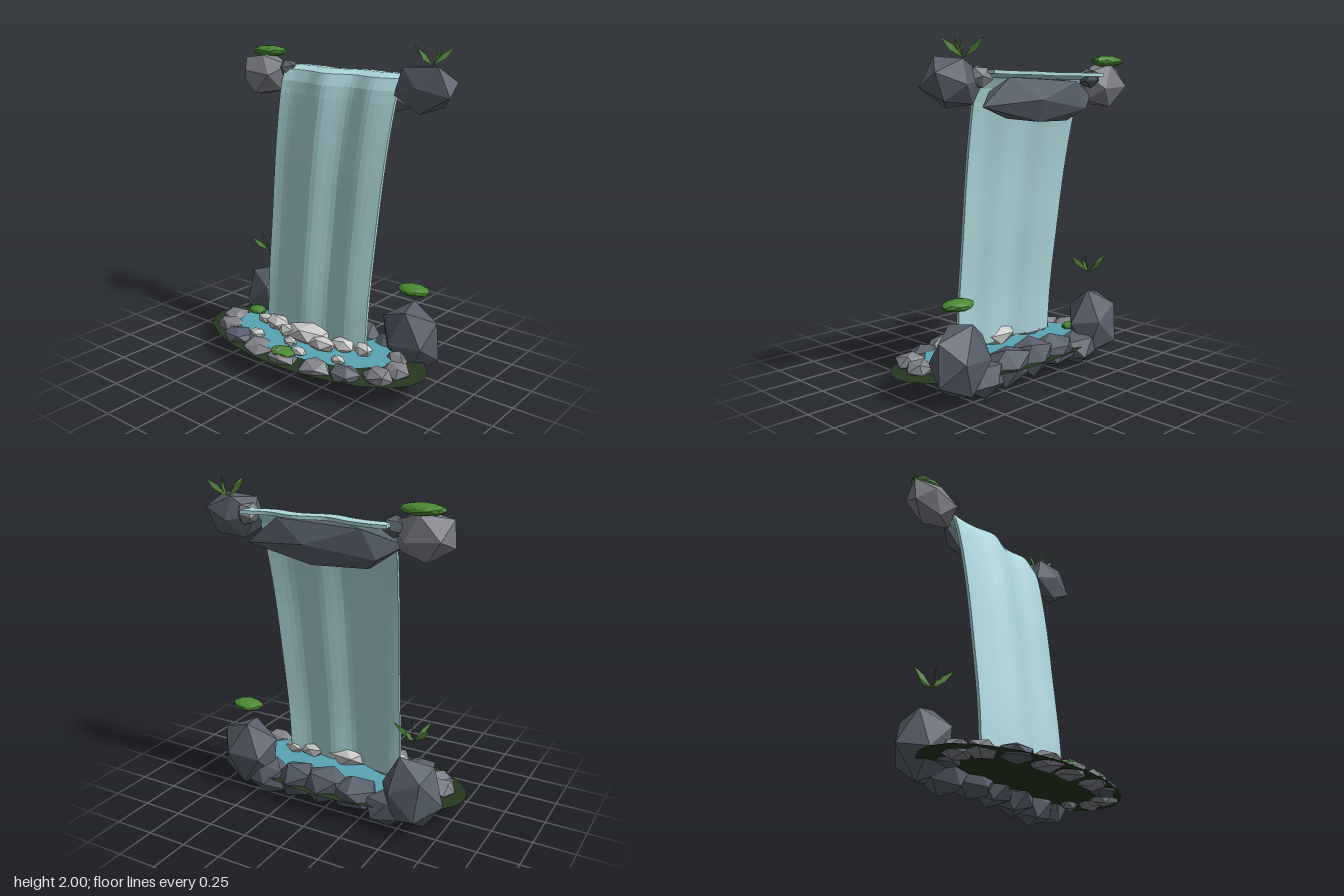
import * as THREE from 'three';

const mat = (color, side = THREE.FrontSide) =>
  new THREE.MeshStandardMaterial({ color, flatShading: true, side });
const M = {
  dark: mat(0x59606b), grey: mat(0x808288), foam: mat(0xeef1f1), moss: mat(0x4c8a33),
  leaf: mat(0x5a9440, THREE.DoubleSide), water: mat(0xb0dade),
  pool: mat(0x5aa5b5, THREE.DoubleSide), ground: mat(0x263822, THREE.DoubleSide),
};

let seed = 7;
const rand = () => (seed = (seed * 16807) % 2147483647) / 2147483647;

function add(parent, name, geometry, material) {
  const mesh = new THREE.Mesh(geometry, material);
  mesh.name = name;
  parent.add(mesh);
  return mesh;
}

// Faceted stone: a roughened icosahedron fitted to centre c and half sizes h
function stone(parent, name, c, h, material, detail = 0, rough = 0.22) {
  const g = new THREE.IcosahedronGeometry(1, detail);
  const p = g.attributes.position, moved = {}, v = new THREE.Vector3();
  const turn = new THREE.Euler(rand() * 0.5, rand() * 6.28, rand() * 0.5);
  for (let i = 0; i < p.count; i++) {
    v.fromBufferAttribute(p, i);
    const key = v.toArray().map(n => Math.round(n * 100)).join();
    moved[key] ??= 1 + (rand() - 0.5) * rough;
    v.multiplyScalar(moved[key]).applyEuler(turn);
    p.setXYZ(i, v.x, v.y, v.z);
  }
  g.center();
  g.computeBoundingBox();
  const b = g.boundingBox.max;
  g.scale(h[0] / b.x, h[1] / b.y, h[2] / b.z).translate(...c);
  g.computeVertexNormals();
  return add(parent, name, g, material);
}

const moss = (parent, c, h) => stone(parent, 'mossCushion', c, h, M.moss, 1, 0.1);

// Tuft of thin upright diamond-shaped blades fanning out from a base point
function fern(parent, c, start) {
  const tuft = new THREE.Group();
  tuft.name = 'fern';
  const blade = new THREE.Shape([[0, 0], [0.055, 0.068], [0.122, 0.108], [0.075, 0.04]]
    .map(q => new THREE.Vector2(...q)));
  for (let i = 0; i < 5; i++) {
    const leaf = add(tuft, 'blade', new THREE.ShapeGeometry(blade), M.leaf);
    leaf.rotation.y = start + i * Math.PI * 0.4;
  }
  tuft.position.set(...c);
  parent.add(tuft);
}

// Flat oval lying in the horizontal plane
function oval(parent, name, rx, rz, y, z, sides, material, wobble = 0) {
  const g = new THREE.CircleGeometry(1, sides).rotateX(-Math.PI / 2);
  const p = g.attributes.position;
  for (let i = 1; i < p.count; i++) {
    const k = 1 + wobble * Math.sin(i * 2.4);
    p.setXYZ(i, p.getX(i) * k, 0, p.getZ(i) * k);
  }
  g.scale(rx, 1, rz).translate(0, y, z);
  return add(parent, name, g, material);
}

// Falling sheet: a subdivided slab bent along a path and rippled across its width
function waterfall(parent) {
  const path = new THREE.CatmullRomCurve3([
    [0.2, 0.03], [0.5, 0.01], [0.9, -0.038], [1.3, -0.09], [1.6, -0.145], [1.72, -0.175],
    [1.795, -0.205], [1.825, -0.25], [1.825, -0.36],
  ].map(([y, z]) => new THREE.Vector3(0, y, z)));
  const ripple = new THREE.SplineCurve([
    [-0.5, -0.022], [-0.4, -0.03], [-0.25, -0.012], [-0.08, 0.033],
    [0.13, -0.012], [0.32, 0.02], [0.5, -0.022],
  ].map(q => new THREE.Vector2(...q)));
  const ripples = ripple.getPoints(120);
  const rippleAt = x => {
    const i = Math.max(1, ripples.findIndex(q => q.x >= x - 1e-6));
    const a = ripples[i - 1], b = ripples[i];
    return THREE.MathUtils.mapLinear(x, a.x, b.x, a.y, b.y);
  };
  const g = new THREE.BoxGeometry(1, 1, 1, 24, 24, 1), p = g.attributes.position;
  for (let i = 0; i < p.count; i++) {
    const u = p.getX(i), t = p.getY(i) + 0.5, d = p.getZ(i) * 0.02;
    const c = path.getPointAt(t), n = path.getTangentAt(t);
    const half = 0.392 + 0.048 * (c.y / 1.82) ** 2 + 0.02 * THREE.MathUtils.smoothstep(-c.z, 0.2, 0.36);
    p.setXYZ(i, u * 2 * half, c.y - n.z * d, c.z + n.y * d + rippleAt(u));
  }
  g.computeVertexNormals();
  add(parent, 'waterfallSheet', g, M.water);
}

export function createModel() {
  const model = new THREE.Group();
  model.name = 'waterfallScene';

  // Ground and pool
  oval(model, 'mossyGround', 0.815, 0.39, 0.14, 0.03, 24, M.ground);
  oval(model, 'poolWater', 0.585, 0.3, 0.178, 0.02, 32, M.pool, 0.02);
  waterfall(model);

  // Rim stones around the front and sides of the pool
  const rim = new THREE.Group();
  rim.name = 'poolRim';
  model.add(rim);
  [[-0.64, 0.06, 0.09], [-0.58, 0.17, 0.085], [-0.42, 0.27, 0.095], [-0.21, 0.31, 0.1], [0, 0.32, 0.095],
    [0.25, 0.32, 0.1], [0.43, 0.27, 0.095], [0.6, 0.17, 0.095], [0.645, 0.05, 0.085],
    [0.57, -0.06, 0.065], [-0.57, -0.06, 0.07]]
    .forEach(([x, z, r], i) =>
      stone(rim, 'rimStone', [x, 0.155, z], [r * 1.05, 0.055, r * 0.85], i % 4 === 2 ? M.dark : M.grey));

  // Rock row behind the pool, with a boulder at each end
  const back = new THREE.Group();
  back.name = 'backRocks';
  model.add(back);
  [[-0.44, 0], [-0.21, 0.03], [0, 0.04], [0.2, 0.03], [0.41, 0]].forEach(([x, low]) =>
    stone(back, 'backRock', [x, low + 0.11, -0.22], [0.15, 0.11, 0.125], M.dark));
  stone(back, 'rightBoulder', [-0.58, 0.255, -0.225], [0.2, 0.22, 0.135], M.dark, 0, 0.12);
  stone(back, 'leftBoulder', [0.565, 0.25, -0.225], [0.185, 0.215, 0.135], M.dark, 0, 0.12);

  // Upper ledge and the rocks that hold the lip
  const ledge = new THREE.Group();
  ledge.name = 'upperLedge';
  model.add(ledge);
  stone(ledge, 'ledgeSlab', [-0.02, 1.68, -0.27], [0.49, 0.125, 0.095], M.dark);
  stone(ledge, 'rightTopRock', [-0.605, 1.765, -0.235], [0.175, 0.13, 0.105], M.grey);
  stone(ledge, 'rightSmallRock', [-0.46, 1.81, -0.27], [0.07, 0.06, 0.065], M.dark);
  stone(ledge, 'leftTopRock', [0.61, 1.768, -0.23], [0.185, 0.135, 0.1], M.dark);
  stone(ledge, 'leftSmallRock', [0.47, 1.8, -0.28], [0.075, 0.06, 0.06], M.grey);

  // White foam lumps where the sheet lands, and a few drifting on the pool
  const foam = new THREE.Group();
  foam.name = 'foam';
  model.add(foam);
  [[-0.39, 0.045, 0.055, 0.04], [-0.27, 0.05, 0.095, 0.05], [-0.12, 0.11, 0.085, 0.045],
    [0.01, 0.075, 0.14, 0.065], [0.15, 0.12, 0.09, 0.045], [0.26, 0.06, 0.085, 0.05],
    [0.39, 0.03, 0.06, 0.045], [-0.29, 0.235, 0.055, 0.03], [-0.05, 0.195, 0.05, 0.028],
    [0.085, 0.27, 0.05, 0.028], [0.34, 0.21, 0.05, 0.028]]
    .forEach(([x, z, r, h]) => stone(foam, 'foamLump', [x, 0.175 + h * 0.75, z], [r, h, r * 0.68], M.foam));

  // Moss cushions and ferns
  const plants = new THREE.Group();
  plants.name = 'plants';
  model.add(plants);
  moss(plants, [-0.615, 1.915, -0.28], [0.125, 0.034, 0.072]);
  moss(plants, [0.58, 0.567, -0.215], [0.105, 0.034, 0.07]);
  moss(plants, [0, 0.185, 0.31], [0.085, 0.022, 0.065]);
  moss(plants, [-0.56, 0.19, -0.06], [0.065, 0.025, 0.05]);
  fern(plants, [0.6, 1.892, -0.3], 0.65);
  fern(plants, [-0.57, 0.572, -0.2], 0.3);

  return model;
}
